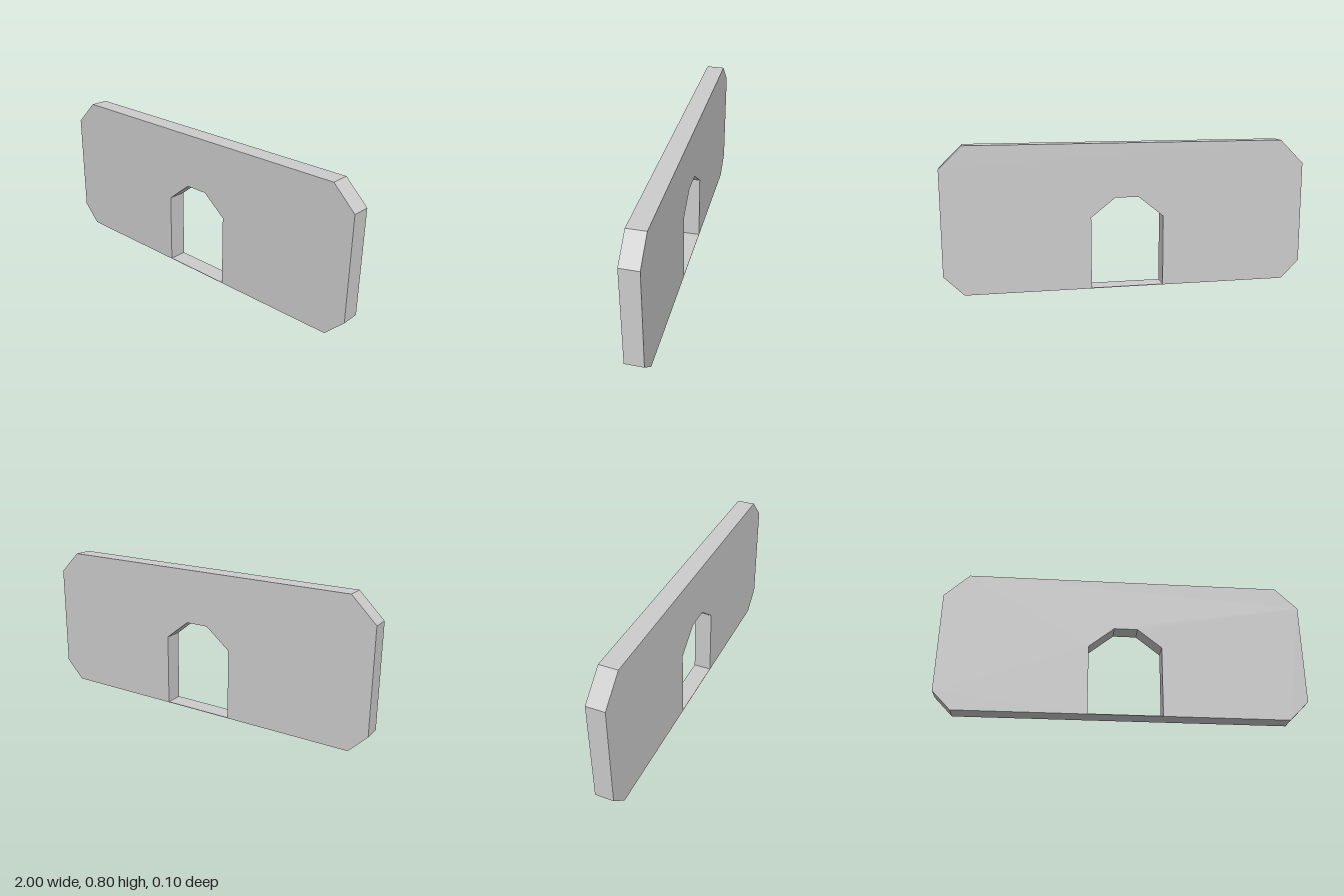
import * as THREE from 'three';

const DEPTH = 0.1;
const toPoints = (pairs) => pairs.map(([x, y]) => new THREE.Vector2(x, y));

export function createModel() {
  const group = new THREE.Group();
  group.name = 'archedWallPanel';

  // Panel outline with clipped corners
  const outline = new THREE.Shape(toPoints([
    [-0.9, 0], [0.893, 0], [1, 0.107], [1, 0.68],
    [0.877, 0.8], [-0.866, 0.8], [-1, 0.668], [-1, 0.102],
  ]));

  // Doorway with a faceted arch, closed below by a paper-thin sill
  const sill = 0.003;
  outline.holes.push(new THREE.Path(toPoints([
    [-0.193, sill], [-0.193, 0.392], [-0.054, 0.504],
    [0.075, 0.504], [0.208, 0.398], [0.208, sill],
  ])));

  const geometry = new THREE.ExtrudeGeometry(outline, { depth: DEPTH, bevelEnabled: false });
  geometry.translate(0, 0, -DEPTH / 2);

  const panel = new THREE.Mesh(
    geometry,
    new THREE.MeshStandardMaterial({ color: 0xcccccc, flatShading: true }),
  );
  panel.name = 'wallPanel';
  group.add(panel);
  return group;
}
